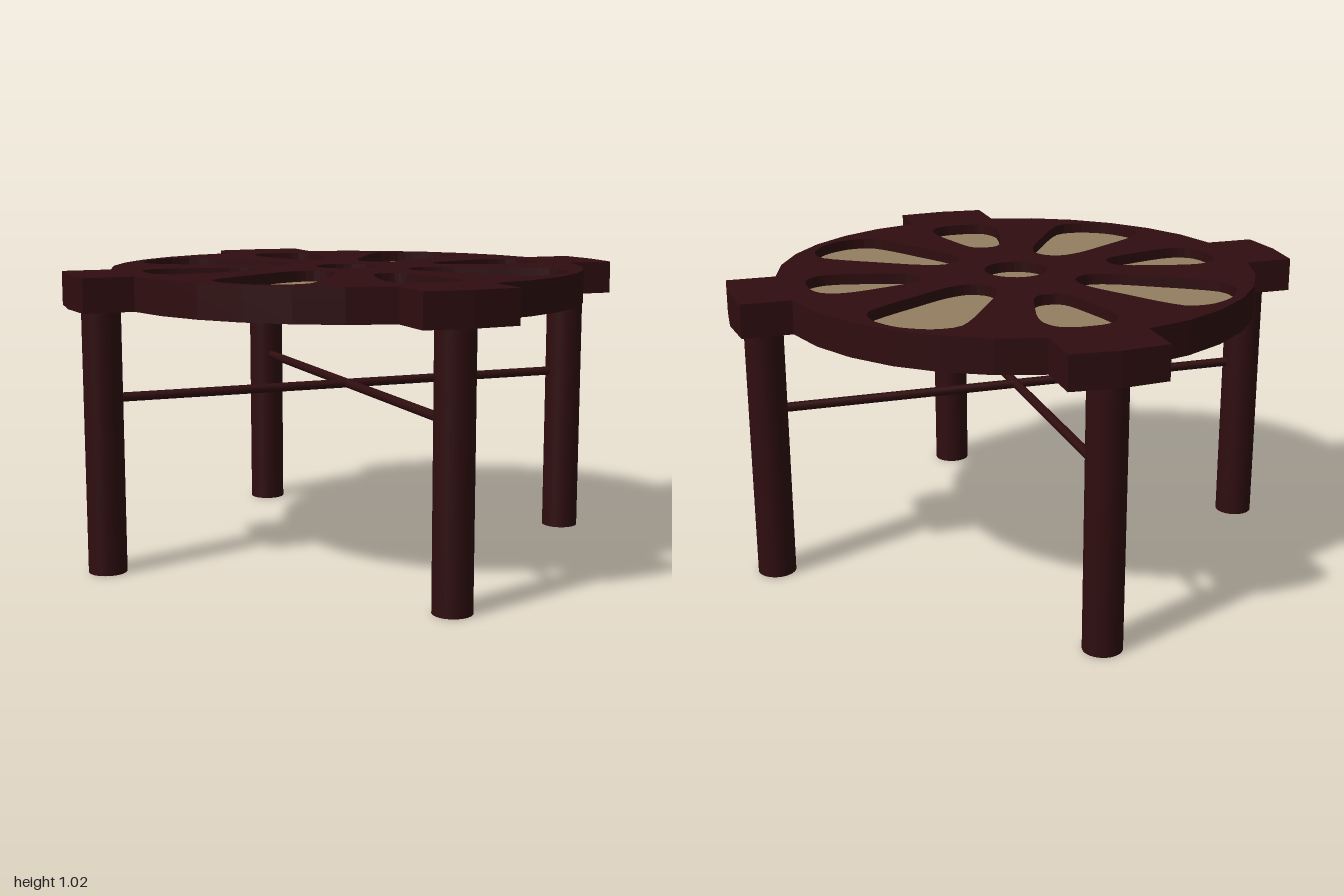
import * as THREE from 'three';

const TOP = 1.025, FLOOR = 0.985, UNDER = 0.91;

// Half outlines of the petals: distance from the centre, half width
const SMALL_PETAL = [[0.345, 0], [0.352, 0.035], [0.38, 0.06], [0.48, 0.092], [0.6, 0.122], [0.66, 0.122], [0.71, 0.098], [0.732, 0.05], [0.735, 0]];
const LARGE_PETAL = [[0.237, 0], [0.255, 0.05], [0.285, 0.074], [0.345, 0.1], [0.48, 0.132], [0.61, 0.161], [0.705, 0.167], [0.765, 0.115], [0.79, 0.05], [0.797, 0]];

function petalOutline(half, angle) {
  const mirrored = half.slice(1, -1).reverse().map(([u, v]) => [u, -v]);
  const points = [...half, ...mirrored].map(([u, v]) => new THREE.Vector3(u, -v, 0));
  const curve = new THREE.CatmullRomCurve3(points, true);
  const c = Math.cos(angle), s = Math.sin(angle);
  return curve.getPoints(40).slice(0, -1).map((p) => new THREE.Vector2(p.x * c - p.y * s, p.x * s + p.y * c));
}

function circleOutline(radius, sides) {
  return Array.from({ length: sides }, (_, i) => {
    const a = (i / sides) * Math.PI * 2;
    return new THREE.Vector2(radius * Math.cos(a), radius * Math.sin(a));
  });
}

// Round top with a slightly pointed tab over each leg
function tableOutline() {
  const points = [];
  for (let quarter = 0; quarter < 4; quarter++) {
    const part = [[0.815, -0.162], [0.985, -0.162], [1, 0], [0.985, 0.162], [0.815, 0.162]];
    for (let i = 2; i <= 6; i++) {
      const a = (i * Math.PI) / 16;
      part.push([0.832 * Math.cos(a), 0.832 * Math.sin(a)]);
    }
    for (const [x, y] of part) {
      points.push(new THREE.Vector2(x, y).rotateAround(new THREE.Vector2(), (quarter * Math.PI) / 2));
    }
  }
  return points;
}

// Horizontal plate between two heights, with optional openings
function plate(outline, bottom, top, holes = []) {
  const shape = new THREE.Shape(outline);
  shape.holes = holes.map((h) => new THREE.Path(h));
  const geometry = new THREE.ExtrudeGeometry(shape, { depth: top - bottom, bevelEnabled: false });
  return geometry.rotateX(-Math.PI / 2).translate(0, bottom, 0);
}

export function createModel() {
  const group = new THREE.Group();
  const wood = new THREE.MeshStandardMaterial({ color: 0x2f0d0f });
  wood.name = 'darkWood';
  const tan = new THREE.MeshStandardMaterial({ color: 0x947e61 });
  tan.name = 'tanInlay';

  const add = (name, geometry, material) => {
    const mesh = new THREE.Mesh(geometry, material);
    mesh.name = name;
    group.add(mesh);
    return mesh;
  };

  // Flower of recesses: eight petals and a round middle
  const recesses = [circleOutline(0.11, 24)];
  for (let i = 0; i < 8; i++) {
    recesses.push(petalOutline(i % 2 ? LARGE_PETAL : SMALL_PETAL, (i * Math.PI) / 4));
  }

  // Table top: solid base and pierced upper layer
  const outline = tableOutline();
  add('tableTopBase', plate(outline, UNDER, FLOOR), wood);
  add('tableTopSurface', plate(outline, FLOOR, TOP, recesses), wood);

  // Inlays on the floor of each recess
  recesses.forEach((r, i) => add(i ? 'petalInlay' + i : 'centreInlay', plate(r, FLOOR, FLOOR + 0.003), tan));

  // Four round legs
  const legs = [['frontLeg', 0, 0.875], ['backLeg', 0, -0.893], ['leftLeg', 0.89, 0], ['rightLeg', -0.89, 0]];
  for (const [name, x, z] of legs) {
    add(name, new THREE.CylinderGeometry(0.066, 0.066, UNDER, 32), wood).position.set(x, UNDER / 2, z);
  }

  // Crossed stretcher rods
  const rod = new THREE.CylinderGeometry(0.016, 0.016, 1.74, 16);
  const across = add('sideStretcher', rod, wood);
  across.rotation.z = Math.PI / 2;
  across.position.y = 0.604;
  const along = add('frontBackStretcher', rod, wood);
  along.rotation.x = Math.PI / 2;
  along.position.set(0, 0.604, -0.009);

  return group;
}
